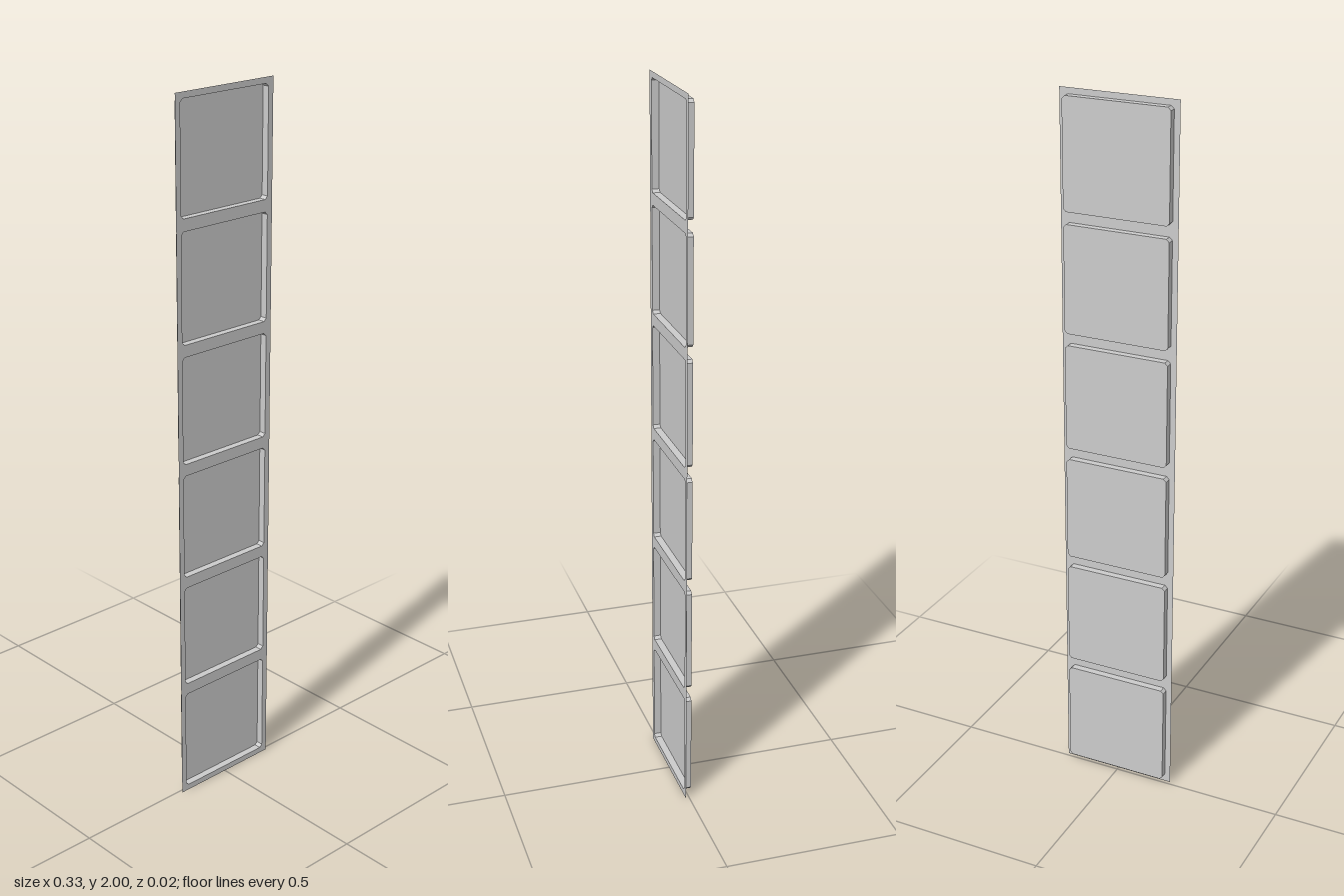
import * as THREE from 'three';

const COUNT = 6, PITCH = 1 / 3, HALF = 0.15, CHAMFER = 0.008, FRONT = 0.01, BACK = -0.01;

// Square outline with clipped corners, centred on (0, cy)
function panelOutline(cy) {
  const h = HALF, k = HALF - CHAMFER;
  return [[k, -h], [h, -k], [h, k], [k, h], [-k, h], [-h, k], [-h, -k], [-k, -h]]
    .map(([x, y]) => new THREE.Vector2(x, y + cy));
}

// Open band joining the front and back copies of an outline
function wallGeometry(points) {
  const pos = [];
  points.forEach((a, i) => {
    const b = points[(i + 1) % points.length];
    pos.push(a.x, a.y, BACK, b.x, b.y, BACK, b.x, b.y, FRONT);
    pos.push(a.x, a.y, BACK, b.x, b.y, FRONT, a.x, a.y, FRONT);
  });
  const g = new THREE.BufferGeometry();
  g.setAttribute('position', new THREE.Float32BufferAttribute(pos, 3));
  g.computeVertexNormals();
  return g;
}

export function createModel() {
  const model = new THREE.Group();
  model.name = 'panelStrip';
  const material = new THREE.MeshStandardMaterial({
    color: 0xcccccc, flatShading: true, side: THREE.DoubleSide,
  });
  const add = (geometry, name, parent) => {
    const mesh = new THREE.Mesh(geometry, material);
    mesh.name = name;
    parent.add(mesh);
    return mesh;
  };

  // Thin frame sheet, pierced by one opening per panel
  const w = PITCH / 2;
  const sheet = new THREE.Shape([[-w, 0], [w, 0], [w, 2], [-w, 2]].map(([x, y]) => new THREE.Vector2(x, y)));

  for (let i = 0; i < COUNT; i++) {
    const outline = panelOutline((i + 0.5) * PITCH);
    sheet.holes.push(new THREE.Path(outline.slice().reverse()));

    // Shallow tray: recessed from the front, raised at the back
    const tray = new THREE.Group();
    tray.name = `tray${i + 1}`;
    add(wallGeometry(outline), 'trayWall', tray);
    add(new THREE.ShapeGeometry(new THREE.Shape(outline)), 'trayPanel', tray).position.z = BACK;
    model.add(tray);
  }

  add(new THREE.ShapeGeometry(sheet), 'frameSheet', model).position.z = FRONT;
  return model;
}
